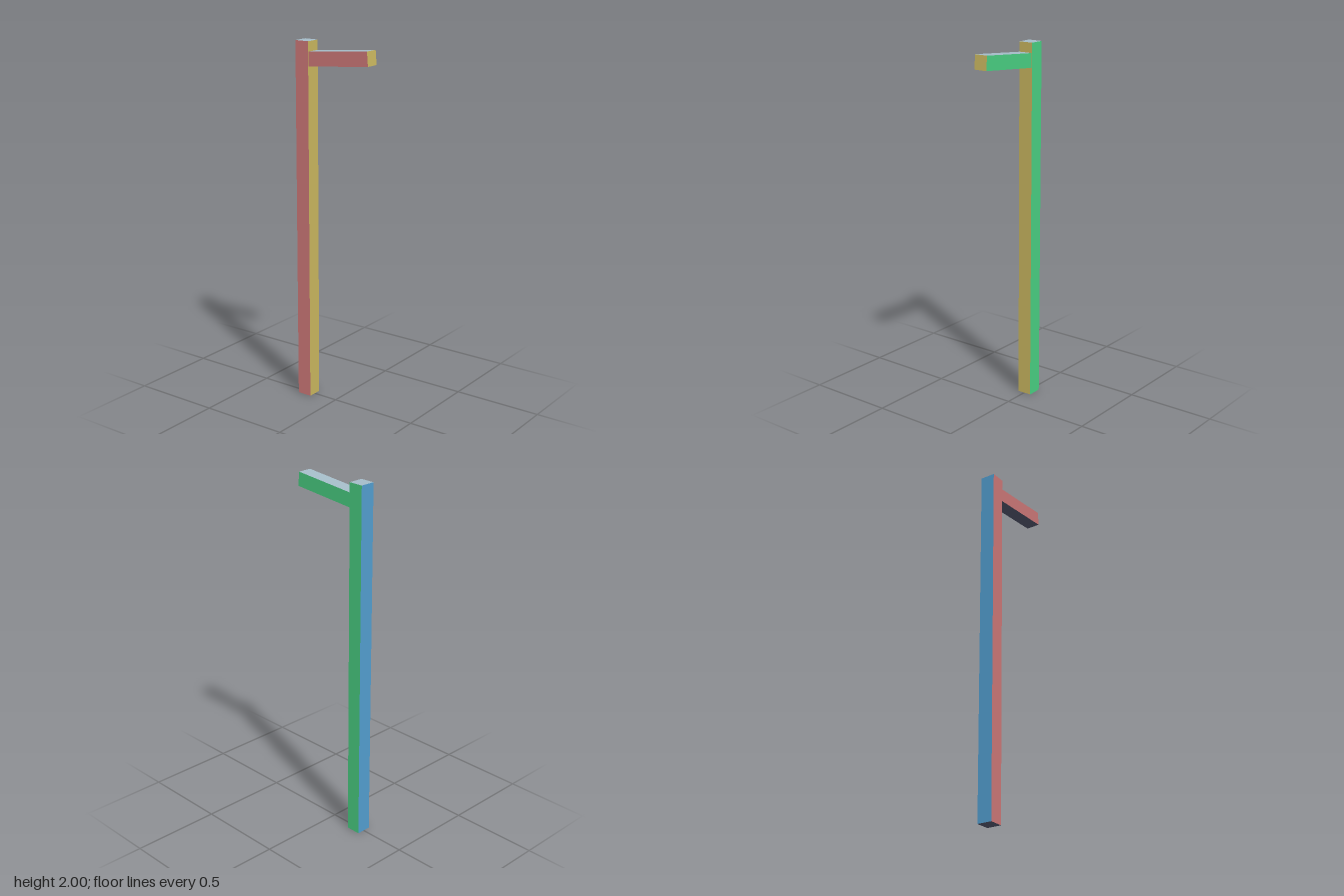
import * as THREE from 'three';

function makeMaterial(name, color) {
  const material = new THREE.MeshStandardMaterial({ color });
  material.name = name;
  return material;
}

export function createModel() {
  const group = new THREE.Group();
  group.name = 'postWithArm';

  // One colour per box side: +x, -x, +y, -y, +z, -z
  const sides = [
    makeMaterial('green', 0x48cc80),
    makeMaterial('dusty red', 0xca7676),
    makeMaterial('pale blue grey', 0xa4bcc8),
    makeMaterial('dark slate', 0x50546a),
    makeMaterial('ochre', 0xc8b55e),
    makeMaterial('blue', 0x519ccd),
  ];

  function addBar(name, width, height, depth, y, z) {
    const bar = new THREE.Mesh(new THREE.BoxGeometry(width, height, depth), sides);
    bar.name = name;
    bar.position.set(0, y, z);
    group.add(bar);
    return bar;
  }

  // Upright post at the back
  addBar('post', 0.083, 2, 0.083, 1, -0.188);

  // Arm rising gently to the front, its rear end set into the post
  const tilt = THREE.MathUtils.degToRad(5);
  const length = 0.42;
  const arm = addBar(
    'arm', 0.077, 0.077, length,
    1.94 - (length / 2) * Math.sin(tilt),
    0.226 - (length / 2) * Math.cos(tilt),
  );
  arm.rotation.x = -tilt;

  return group;
}
